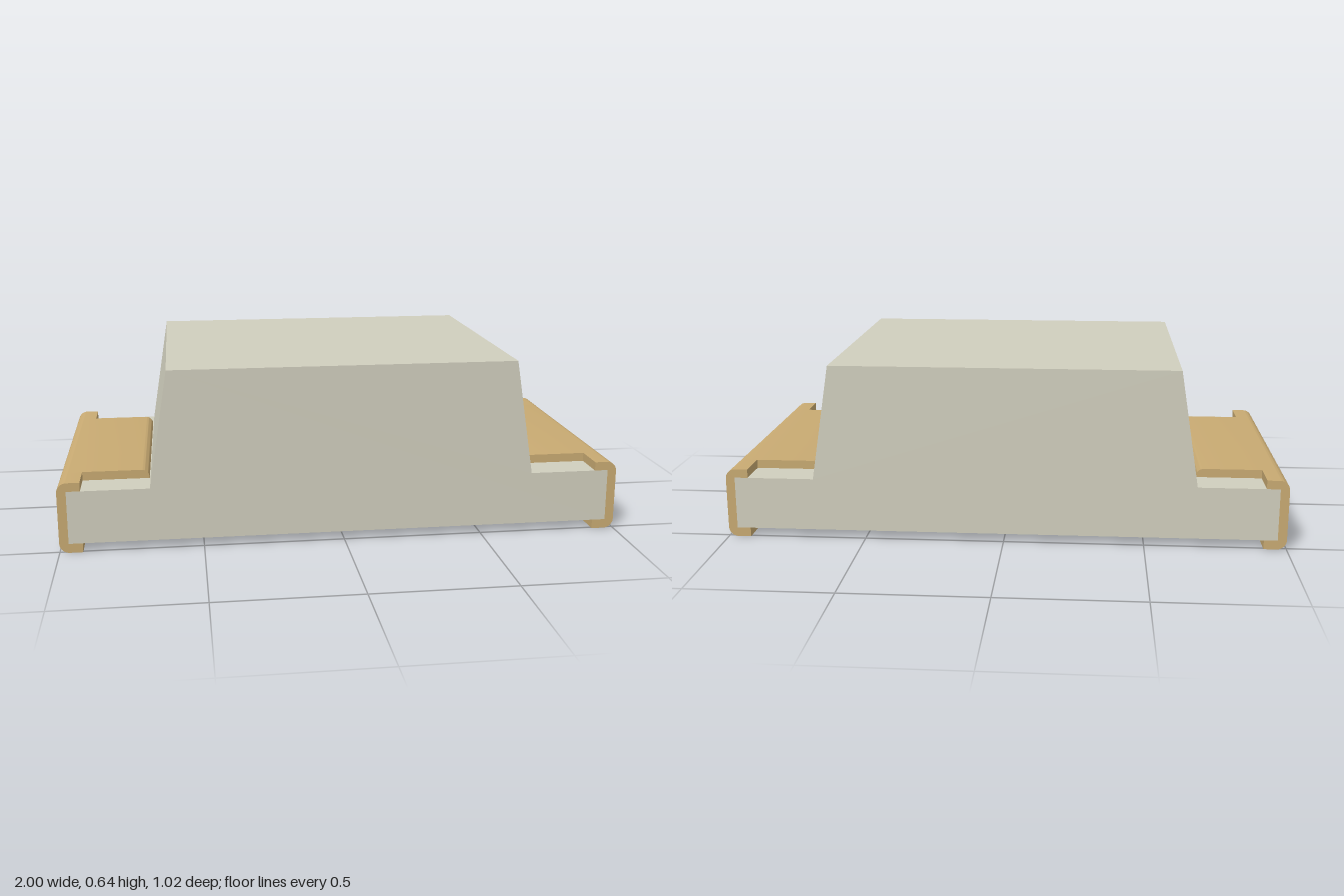
import * as THREE from 'three';
import { toCreasedNormals } from 'three/addons/utils/BufferGeometryUtils.js';

const HALF_DEPTH = 0.51, TAB_HALF = 0.385;
const BOTTOM = 0.033, LEDGE = 0.222, HEIGHT = 0.253;

const material = (color) => new THREE.MeshStandardMaterial({ color });

// Extrudes an x-y shape from z0 to z1
function extrude(shape, z0, z1) {
  const g = new THREE.ExtrudeGeometry(shape, { depth: z1 - z0, bevelEnabled: false, curveSegments: 8 });
  g.translate(0, 0, z0);
  return toCreasedNormals(g, 0.5);
}

// C-shaped metal cap section, its tabs reaching in to x = inner
function capShape(inner, tip) {
  const r = 0.035;
  const s = new THREE.Shape();
  s.moveTo(inner + tip, 0);
  s.lineTo(1 - r, 0);
  s.absarc(1 - r, r, r, -Math.PI / 2, 0, false);
  s.lineTo(1, HEIGHT - r);
  s.absarc(1 - r, HEIGHT - r, r, 0, Math.PI / 2, false);
  s.lineTo(inner + tip, HEIGHT);
  if (tip) s.absarc(inner + tip, HEIGHT - tip, tip, Math.PI / 2, Math.PI, false);
  s.lineTo(inner, LEDGE);
  s.lineTo(0.968, LEDGE);
  s.lineTo(0.968, BOTTOM);
  s.lineTo(inner, BOTTOM);
  if (tip) s.absarc(inner + tip, tip, tip, Math.PI, Math.PI * 1.5, false);
  else s.lineTo(inner, 0);
  return s;
}

export function createModel() {
  const model = new THREE.Group();
  model.name = 'chipComponent';
  const add = (parent, name, geometry, mat) => {
    const mesh = new THREE.Mesh(geometry, mat);
    mesh.name = name;
    parent.add(mesh);
  };

  // Base slab with the tapered lens block on top
  const half = [[0.968, BOTTOM], [0.968, LEDGE], [0.682, LEDGE], [0.614, 0.637]];
  const outline = [...half, ...half.map(([x, y]) => [-x, y]).reverse()];
  const body = new THREE.Shape(outline.map(([x, y]) => new THREE.Vector2(x, y)));
  add(model, 'body', extrude(body, -HALF_DEPTH, HALF_DEPTH), material(0xd0cebd));

  // Wrap-around terminals: wide tabs in the middle, short lips at the corners
  const gold = material(0xc8aa72);
  const tab = extrude(capShape(0.685, 0.028), -TAB_HALF, TAB_HALF);
  const lip = capShape(0.92, 0);
  const frontLip = extrude(lip, TAB_HALF, HALF_DEPTH);
  const backLip = extrude(lip, -HALF_DEPTH, -TAB_HALF);
  for (const side of ['left', 'right']) {
    const terminal = new THREE.Group();
    terminal.name = side + 'Terminal';
    add(terminal, 'terminalTabs', tab, gold);
    add(terminal, 'frontLip', frontLip, gold);
    add(terminal, 'backLip', backLip, gold);
    if (side === 'right') terminal.rotation.y = Math.PI;
    model.add(terminal);
  }

  // Polarity triangle under the body, pointing to -x
  const triangle = new THREE.Shape([
    new THREE.Vector2(-0.35, 0),
    new THREE.Vector2(0.35, -0.405),
    new THREE.Vector2(0.35, 0.405),
  ]);
  const marker = new THREE.ExtrudeGeometry(triangle, { depth: 0.018, bevelEnabled: false });
  marker.rotateX(-Math.PI / 2);
  marker.translate(0, 0.016, 0);
  add(model, 'polarityMark', marker, material(0x4f9f70));

  return model;
}
